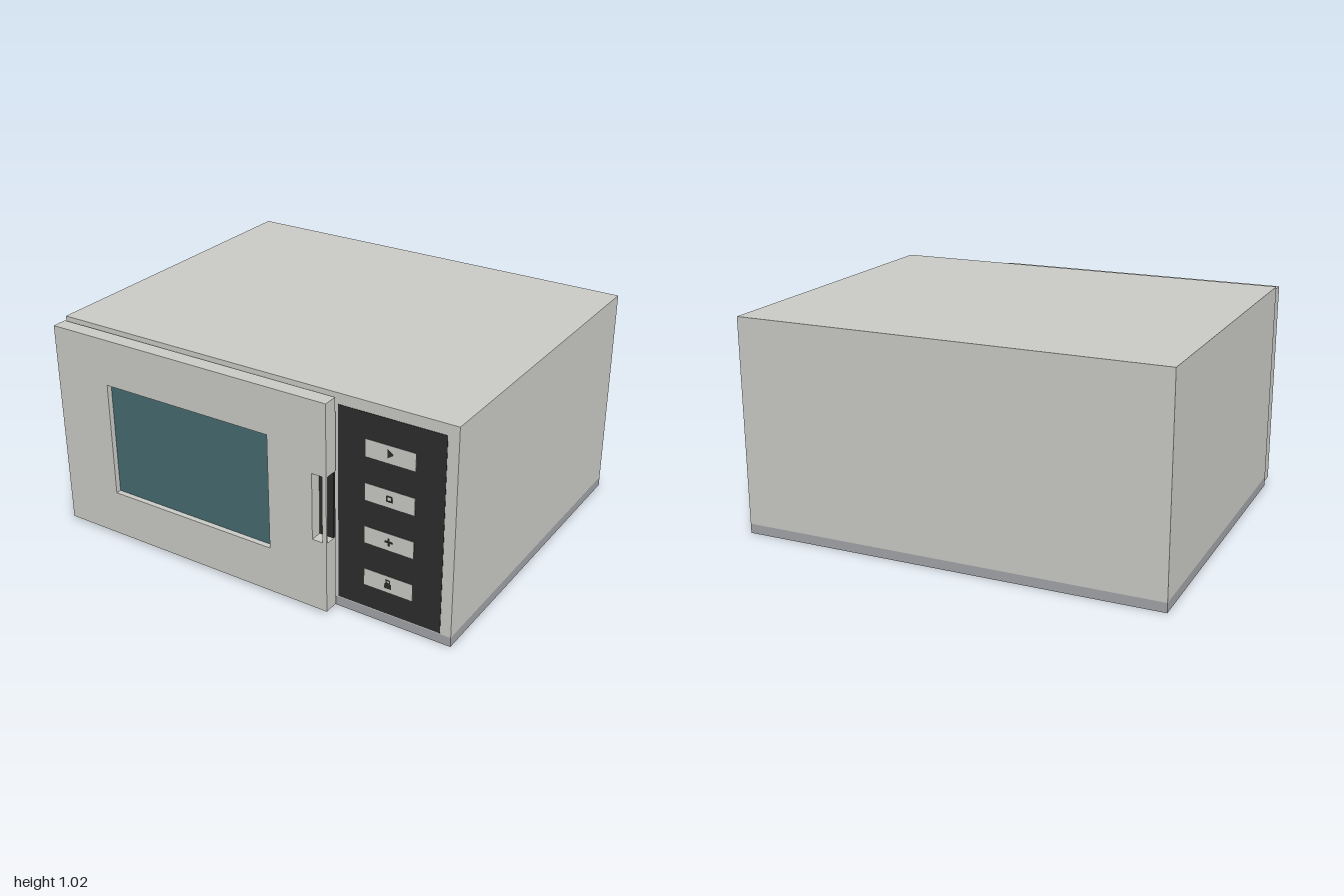
import * as THREE from 'three';

const material = (name, color) => {
  const m = new THREE.MeshStandardMaterial({ color });
  m.name = name;
  return m;
};

export function createModel() {
  const model = new THREE.Group();
  model.name = 'microwaveOven';
  const shell = material('warm grey shell', 0xc9c9c4);
  const baseGrey = material('base grey', 0xa0a3a7);
  const black = material('panel black', 0x2c2c2c);
  const teal = material('teal glass', 0x45696f);

  const add = (name, geometry, mat, parent = model) => {
    const mesh = new THREE.Mesh(geometry, mat);
    mesh.name = name;
    parent.add(mesh);
    return mesh;
  };

  // Box given by its minimum and maximum on each axis
  const block = (name, [x0, x1], [y0, y1], [z0, z1], mat, parent) => {
    const g = new THREE.BoxGeometry(x1 - x0, y1 - y0, z1 - z0);
    g.translate((x0 + x1) / 2, (y0 + y1) / 2, (z0 + z1) / 2);
    return add(name, g, mat, parent);
  };

  const outline = (points, Type = THREE.Shape) =>
    new Type(points.map(([x, y]) => new THREE.Vector2(x, y)));
  const rect = (x0, x1, y0, y1) => [[x0, y0], [x1, y0], [x1, y1], [x0, y1]];

  const slab = (shape, z0, z1) =>
    new THREE.ExtrudeGeometry(shape, { depth: z1 - z0, bevelEnabled: false }).translate(0, 0, z0);

  // Cabinet and base
  block('cabinet', [-1, 1], [0.045, 1.02], [-0.827, 0.74], shell);
  block('base', [-1, 1], [0, 0.045], [-0.827, 0.74], baseGrey);

  // Door: notched core plus a front skin, leaving a grip bar at the free edge
  const door = new THREE.Group();
  door.name = 'door';
  model.add(door);
  const L = -0.995, R = 0.45, B = 0.015, T = 1.005;
  const slotL = 0.38, slotR = 0.43, slotB = 0.355, slotT = 0.67;
  const windowHole = () => outline(rect(-0.705, 0.16, 0.235, 0.785), THREE.Path);

  const core = outline([[L, B], [R, B], [R, slotB], [slotL, slotB], [slotL, slotT], [R, slotT], [R, T], [L, T]]);
  core.holes.push(windowHole());
  add('doorCore', slab(core, 0.755, 0.815), shell, door);

  const skin = outline(rect(L, R, B, T));
  skin.holes.push(windowHole(), outline(rect(slotL, slotR, slotB, slotT), THREE.Path));
  add('doorFront', slab(skin, 0.815, 0.825), shell, door);

  block('windowGlass', [-0.705, 0.16], [0.235, 0.785], [0.79, 0.799], teal, door);
  block('handleBack', [slotL, R], [slotB, slotT], [0.757, 0.77], black, door);

  // Control panel with four floating button plates
  block('controlPanel', [0.455, 0.95], [0.05, 0.97], [0.738, 0.742], black);
  const buttonX = 0.703;
  const buttonYs = [0.816, 0.614, 0.41, 0.203];
  buttonYs.forEach((y, i) =>
    block(`button${i + 1}`, [0.586, 0.82], [y - 0.041, y + 0.041], [0.747, 0.749], shell));

  // Simple button symbols: start, stop, add and lock
  const symbol = (name, shape, y) =>
    add(name, slab(shape, 0.749, 0.7505).translate(buttonX, y, 0), black);
  symbol('startSymbol', outline([[-0.012, -0.018], [0.016, 0.002], [-0.012, 0.022]]), buttonYs[0]);

  const stop = outline(rect(-0.014, 0.014, -0.014, 0.014));
  stop.holes.push(outline(rect(-0.008, 0.008, -0.008, 0.008), THREE.Path));
  symbol('stopSymbol', stop, buttonYs[1]);

  symbol('addBarAcross', outline(rect(-0.018, 0.018, -0.004, 0.004)), buttonYs[2]);
  for (const s of [-1, 1]) {
    symbol('addBarUpright', outline(rect(-0.004, 0.004, 0.004, 0.018)), buttonYs[2] + (s < 0 ? -0.022 : 0));
  }

  symbol('lockBody', outline(rect(-0.016, 0.016, -0.02, 0.004)), buttonYs[3]);
  const shackle = outline(rect(-0.011, 0.011, 0.004, 0.022));
  shackle.holes.push(outline(rect(-0.006, 0.006, 0.008, 0.017), THREE.Path));
  symbol('lockShackle', shackle, buttonYs[3]);

  return model;
}
